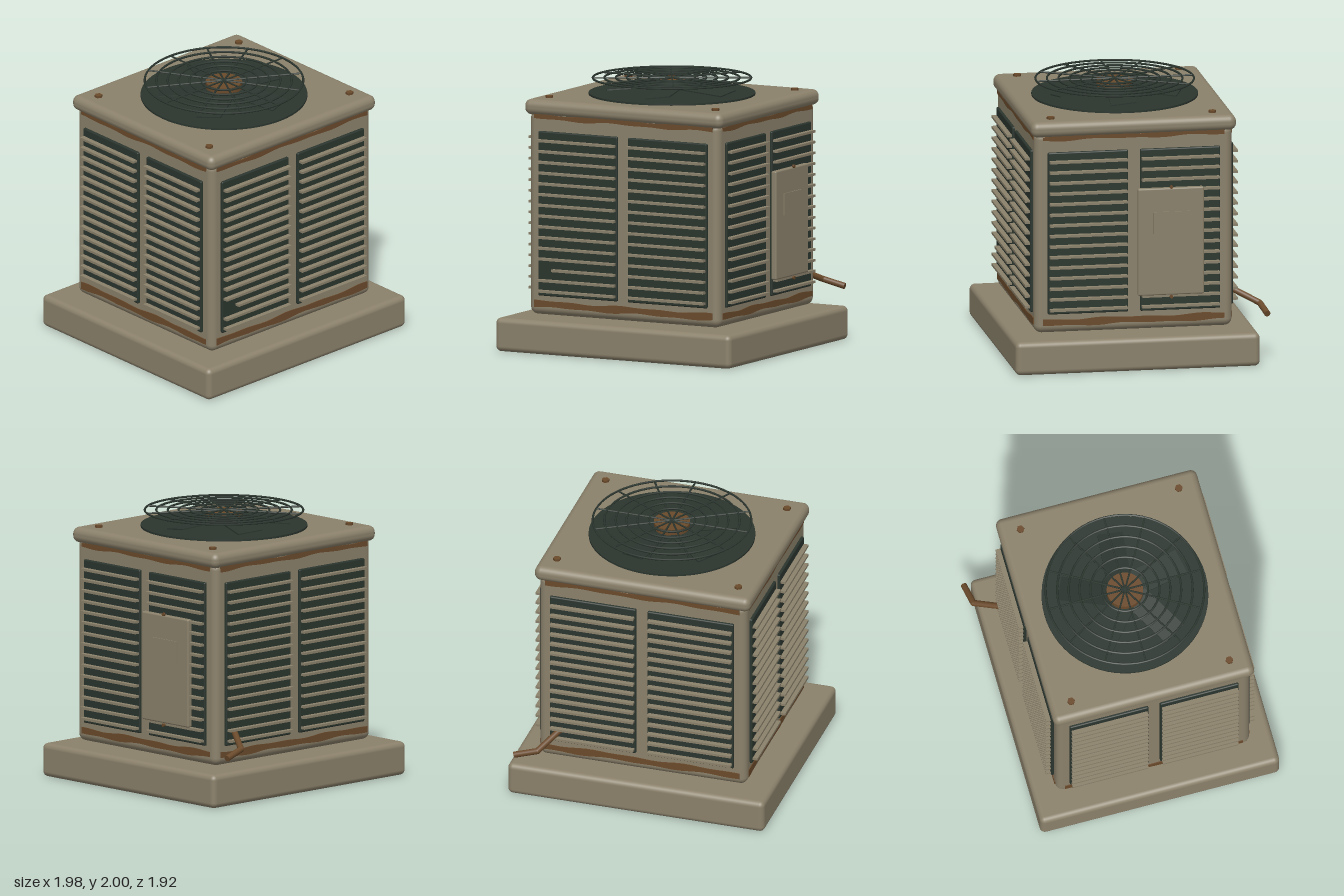
import * as THREE from 'three';
import { RoundedBoxGeometry } from 'three/addons/geometries/RoundedBoxGeometry.js';

const mat = (name, color, side = THREE.FrontSide) => {
  const m = new THREE.MeshStandardMaterial({ color, side });
  m.name = name;
  return m;
};

export function createModel() {
  const beige = mat('weathered beige', 0x8b816b);
  const dark = mat('dark green metal', 0x2b352e);
  const rust = mat('rust brown', 0x6a4a2b);

  const root = new THREE.Group();
  root.name = 'airConditioner';
  const unit = new THREE.Group();
  unit.name = 'unit';
  unit.position.z = 0.043;
  root.add(unit);

  const add = (parent, name, geo, material, x = 0, y = 0, z = 0) => {
    const m = new THREE.Mesh(geo, material);
    m.name = name;
    m.position.set(x, y, z);
    parent.add(m);
    return m;
  };
  const rounded = (w, h, d, r, s = 4) => new RoundedBoxGeometry(w, h, d, s, r);

  // Slab, cabinet and lid
  add(unit, 'slab', rounded(1.98, 0.25, 1.83, 0.04), beige, 0, 0.125);
  add(unit, 'cabinet', rounded(1.6, 1.52, 1.48, 0.055), beige, 0, 1.03);
  add(unit, 'lid', rounded(1.665, 0.115, 1.535, 0.05), beige, 0, 1.813);

  // Wavy rust streak as a thin plate
  const rustBand = (half, low, high, phase) => {
    const s = new THREE.Shape();
    const n = 24;
    const wave = (x, p) => 0.005 * Math.sin(x * 9 + p) + 0.004 * Math.sin(x * 17 + 2 * p);
    s.moveTo(-half, low + wave(-half, phase));
    for (let i = 1; i <= n; i++) {
      const x = -half + (2 * half * i) / n;
      s.lineTo(x, low + wave(x, phase));
    }
    for (let i = n; i >= 0; i--) {
      const x = -half + (2 * half * i) / n;
      s.lineTo(x, high + wave(x, phase + 1.3));
    }
    return new THREE.ExtrudeGeometry(s, { depth: 0.009, bevelEnabled: false });
  };

  // One cabinet side: two louvre panels and two rust bands
  const buildSide = (name, angle, face, panelW, panelX, bandHalf, broken) => {
    const side = new THREE.Group();
    side.name = name;
    side.rotation.y = angle;
    unit.add(side);
    for (const sx of [-1, 1]) {
      add(side, 'louvrePanel', rounded(panelW, 1.225, 0.04, 0.01, 2), dark, sx * panelX, 1.028, face);
      for (let i = 0; i < 15; i++) {
        // One front slat has lost its end
        const cut = broken && sx < 0 && i === 2 ? 0.12 : 0;
        add(side, 'slat', new THREE.BoxGeometry(panelW - 0.02 - cut, 0.018, 0.04), beige,
          sx * panelX + cut / 2, 0.452 + i * 0.08, face + 0.037);
      }
    }
    add(side, 'lowerRust', rustBand(bandHalf, 0.328, 0.375, angle), rust, 0, 0, face - 0.003);
    add(side, 'upperRust', rustBand(bandHalf, 1.73, 1.765, angle + 2), rust, 0, 0, face - 0.003);
  };
  buildSide('frontSide', 0, 0.74, 0.665, 0.377, 0.75, true);
  buildSide('backSide', Math.PI, 0.74, 0.665, 0.377, 0.75, false);
  buildSide('leftSide', Math.PI / 2, 0.8, 0.6, 0.345, 0.68, false);
  buildSide('rightSide', -Math.PI / 2, 0.8, 0.6, 0.345, 0.68, false);

  // Service door with plate and screws
  const door = new THREE.Group();
  door.name = 'serviceDoor';
  root.add(door);
  add(door, 'doorPanel', rounded(0.045, 0.81, 0.495, 0.012, 2), beige, 0.844, 0.945, -0.225);
  add(door, 'doorPlate', new THREE.BoxGeometry(0.009, 0.165, 0.27), beige, 0.87, 1.09, -0.225);
  for (const y of [0.53, 1.36]) {
    const screw = add(door, 'doorScrew', new THREE.CylinderGeometry(0.013, 0.013, 0.015, 8), rust, 0.878, y, -0.225);
    screw.rotation.z = Math.PI / 2;
  }

  // Lid bolts
  for (const x of [-0.7, 0.7]) {
    for (const z of [-0.605, 0.605]) {
      add(unit, 'lidBolt', new THREE.CylinderGeometry(0.029, 0.029, 0.025, 6), rust, x, 1.875, z);
    }
  }

  // Fan opening, blades and hub
  const fan = new THREE.Group();
  fan.name = 'fan';
  unit.add(fan);
  add(fan, 'fanOpening', new THREE.CylinderGeometry(0.615, 0.615, 0.03, 64), dark, 0, 1.87);
  add(fan, 'fanHub', new THREE.CylinderGeometry(0.135, 0.135, 0.05, 32), rust, 0, 1.963);
  for (let i = 0; i < 5; i++) {
    const arm = new THREE.Group();
    arm.name = 'fanBladeArm';
    arm.rotation.y = (i * Math.PI * 2) / 5;
    fan.add(arm);
    const blade = add(arm, 'fanBlade', new THREE.BoxGeometry(0.4, 0.009, 0.19), dark, 0.285, 1.92);
    blade.rotation.set(0.12, -0.1, -0.05);
  }

  // Wire guard of rings and spokes
  const guard = new THREE.Group();
  guard.name = 'fanGuard';
  guard.position.y = 1.992;
  unit.add(guard);
  for (const r of [0.17, 0.255, 0.335, 0.415, 0.5, 0.585]) {
    add(guard, 'guardRing', new THREE.TorusGeometry(r, 0.008, 6, 64), dark).rotation.x = Math.PI / 2;
  }
  for (let i = 0; i < 6; i++) {
    const spoke = add(guard, 'guardSpoke', new THREE.CylinderGeometry(0.007, 0.007, 1.17, 6), dark);
    spoke.rotation.set(Math.PI / 2, 0, (i * Math.PI) / 6);
  }

  // Bent copper pipe at the back
  const pipe = new THREE.Group();
  pipe.name = 'pipe';
  root.add(pipe);
  const points = [[0.6, 0.54, -0.67], [0.745, 0.425, -0.91], [0.915, 0.38, -0.937]]
    .map((p) => new THREE.Vector3(...p));
  for (let i = 0; i < 2; i++) {
    const dir = points[i + 1].clone().sub(points[i]);
    const mid = points[i].clone().add(points[i + 1]).multiplyScalar(0.5);
    const part = add(pipe, 'pipeSection', new THREE.CylinderGeometry(0.023, 0.023, dir.length(), 16), rust, mid.x, mid.y, mid.z);
    part.quaternion.setFromUnitVectors(new THREE.Vector3(0, 1, 0), dir.normalize());
  }
  add(pipe, 'pipeElbow', new THREE.SphereGeometry(0.023, 16, 12), rust, points[1].x, points[1].y, points[1].z);

  return root;
}
